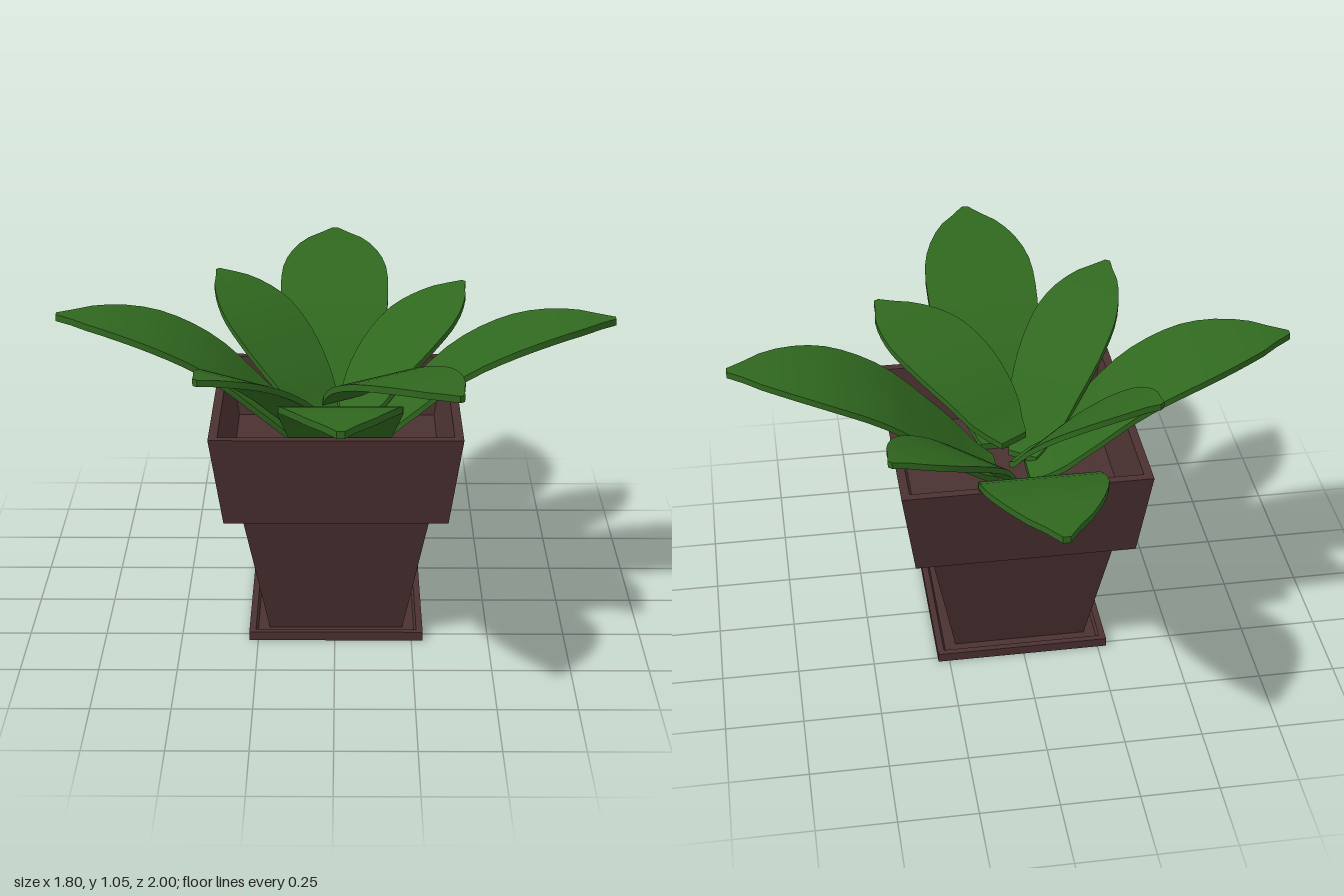
import * as THREE from 'three';

const clay = new THREE.MeshStandardMaterial({ color: 0x4c3131, side: THREE.DoubleSide });
const green = new THREE.MeshStandardMaterial({ color: 0x30681f, side: THREE.DoubleSide });

// Evenly spaced values joined by a smooth curve over 0..1
const smooth = values => {
  const curve = new THREE.SplineCurve(values.map((v, i) => new THREE.Vector2(i, v)));
  return t => curve.getPoint(t).y;
};
const outline = smooth([0.35, 0.68, 0.85, 0.96, 1, 0.97, 0.8, 0.5, 0.06]);

// Square vessel: a four-sided lathe with flat faces; profile is [half side, y]
function squareVessel(name, profile) {
  const points = profile.map(([r, y]) => new THREE.Vector2(r * Math.SQRT2, y));
  const geometry = new THREE.LatheGeometry(points, 4, Math.PI / 4).toNonIndexed();
  geometry.computeVertexNormals();
  const mesh = new THREE.Mesh(geometry, clay);
  mesh.name = name;
  mesh.position.set(0.004, 0, 0.013);
  return mesh;
}

// Leaf: a thin slab narrowed by the outline and bent along its heights
function leaf(name, base, tip, halfWidth, heights) {
  const dx = tip[0] - base[0], dz = tip[1] - base[1];
  const length = Math.hypot(dx, dz);
  const height = smooth(heights);
  const geometry = new THREE.BoxGeometry(1, 0.022, 2, 16, 1, 4);
  const p = geometry.attributes.position;
  for (let i = 0; i < p.count; i++) {
    const t = p.getX(i) + 0.5;
    p.setXYZ(i, t * length, p.getY(i) + 0.011 + height(t), p.getZ(i) * halfWidth * outline(t));
  }
  geometry.computeVertexNormals();
  const mesh = new THREE.Mesh(geometry, green);
  mesh.name = name;
  mesh.position.set(base[0], 0, base[1]);
  mesh.rotation.y = -Math.atan2(dz, dx);
  return mesh;
}

export function createModel() {
  const group = new THREE.Group();
  group.name = 'pottedPlant';

  // Tray and collared pot, with the planting bed inside
  group.add(squareVessel('saucer', [
    [0, 0], [0.283, 0], [0.283, 0.03], [0.262, 0.03], [0.255, 0.015], [0, 0.015],
  ]));
  group.add(squareVessel('pot', [
    [0, 0.015], [0.218, 0.015], [0.3, 0.452], [0.355, 0.452], [0.396, 0.75],
    [0.368, 0.75], [0.335, 0.55], [0, 0.55],
  ]));

  // Long outer leaves
  const arch = [0.55, 0.7, 0.85, 0.94, 0.985, 0.997];
  group.add(leaf('leftLongLeaf', [0.05, 0.015], [0.9, 0.02], 0.187, arch));
  group.add(leaf('rightLongLeaf', [-0.05, -0.015], [-0.9, -0.015], 0.187, arch));
  group.add(leaf('frontLongLeaf', [0.015, 0.15], [0.02, 1], 0.187, arch));
  group.add(leaf('backLongLeaf', [-0.005, -0.15], [-0.005, -1], 0.187, arch));

  // Short inner leaves on the diagonals
  group.add(leaf('frontLeftLeaf', [0.0, -0.05], [0.385, 0.52], 0.152, [0.7, 0.81, 0.88, 0.915, 0.92]));
  group.add(leaf('frontRightLeaf', [-0.04, 0.03], [-0.415, 0.56], 0.145, [0.58, 0.74, 0.86, 0.945, 0.985]));
  group.add(leaf('backLeftLeaf', [0.04, -0.1], [0.44, -0.5], 0.145, [0.6, 0.74, 0.84, 0.91, 0.955]));
  group.add(leaf('backRightLeaf', [-0.02, -0.03], [-0.4, -0.41], 0.15, [0.62, 0.76, 0.88, 0.97, 1.025]));

  return group;
}
